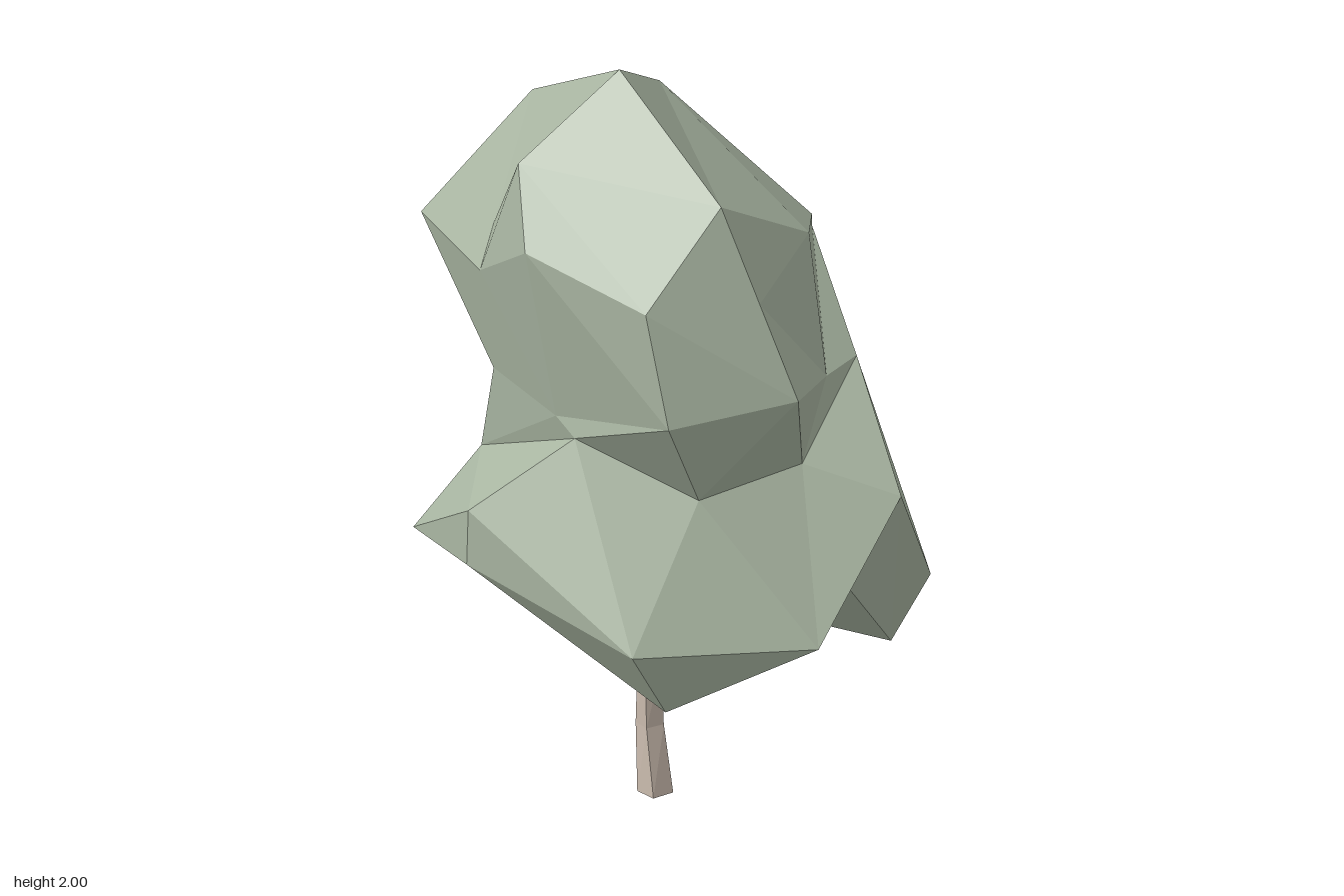
import * as THREE from 'three';

// Crown cross-sections, top to bottom; each runs front, +x, back, -x
const crown = [
  [[0.03, 2, 0.16]],
  [[-0.08, 1.79, 0.41], [0.4, 1.74, 0.18], [-0.08, 1.86, -0.1], [-0.27, 1.86, 0.16], [-0.255, 1.55, 0.315]],
  [[0.02, 1.6, 0.49], [0.35, 1.5, 0.4], [0.49, 1.49, 0.135], [0.34, 1.54, -0.2], [0.13, 1.46, -0.43],
    [-0.25, 1.49, -0.34], [-0.54, 1.47, 0], [-0.52, 1.5, 0.3], [-0.25, 1.44, 0.37]],
  [[0.04, 1.14, 0.4], [0.41, 1.2, 0.38], [0.58, 1.24, 0.09], [0.4, 1.17, -0.2], [0.13, 1.43, -0.43],
    [-0.255, 1.32, -0.385], [-0.5, 1.3, -0.1], [-0.42, 1.07, 0.11], [-0.27, 1.15, 0.3]],
  // waist: tucked in at the front and left, straight down the back
  [[0.11, 1.1, 0.405], [0.38, 0.96, 0.24], [0.45, 0.99, -0.06], [0.37, 1.175, -0.34], [-0.02, 1.15, -0.43],
    [-0.264, 1.15, -0.438], [-0.44, 1.08, -0.22], [-0.42, 0.73, -0.215], [-0.36, 0.9, 0.25]],
];

// Wide lower foliage, from the waist down to the hollow underside
const skirt = [
  crown[4],
  [[-0.09, 0.9, 0.58], [0.39, 0.61, 0.49], [0.65, 0.59, 0.09], [0.61, 0.89, -0.25], [0.53, 0.6, -0.44],
    [0.03, 0.54, -0.58], [-0.28, 0.75, -0.55], [-0.44, 0.67, -0.345], [-0.65, 0.53, -0.12], [-0.48, 0.68, 0.37]],
  [[-0.1, 0.75, 0.575], [0.39, 0.43, 0.37], [0.52, 0.65, -0.15], [0.46, 0.42, -0.37],
    [0.07, 0.36, -0.45], [-0.33, 0.53, -0.45], [-0.54, 0.46, -0.27], [-0.43, 0.43, 0]],
  [[-0.05, 0.62, 0.36], [0.2, 0.5, 0.16], [0.25, 0.47, -0.22], [-0.1, 0.45, -0.2], [-0.25, 0.43, 0.04]],
  [[0.02, 0.46, 0.02]],
];

// Crooked trunk: centre x, y, z and radius of each four-sided section
const trunk = [
  [0.03, 0.5, 0.02, 0.028], [0, 0.34, 0.02, 0.032], [-0.004, 0.18, 0.015, 0.036], [0.015, 0, 0.015, 0.045],
].map(([x, y, z, r], k) => [0, 1, 2, 3].map((i) => {
  const a = i * Math.PI / 2 + 0.3 + k * 0.12;
  return [x + r * Math.sin(a), y, z + r * Math.cos(a)];
}));
trunk.push([[0.015, 0, 0.015]]);

// Angle of every ring point about the ring's centre, closed with a full turn
function ringAngles(ring) {
  const cx = ring.reduce((s, p) => s + p[0], 0) / ring.length;
  const cz = ring.reduce((s, p) => s + p[2], 0) / ring.length;
  const cut = 0.45, turn = Math.PI * 2;
  const angles = ring.map((p) => (Math.atan2(p[0] - cx, p[2] - cz) + cut + turn) % turn);
  return [...angles, angles[0] + turn];
}

// Skins rings of unequal point counts, stitching neighbours by angle
function loft(rings) {
  const pos = [];
  for (let k = 0; k + 1 < rings.length; k++) {
    const up = rings[k], low = rings[k + 1];
    const ua = ringAngles(up), la = ringAngles(low);
    const un = up.length > 1 ? up.length : 0, ln = low.length > 1 ? low.length : 0;
    let i = 0, j = 0;
    while (i < ln || j < un) {
      const u = up[j % up.length], l = low[i % low.length];
      const stepLow = j >= un || (i < ln && la[i] + la[i + 1] <= ua[j] + ua[j + 1]);
      if (stepLow) pos.push(...l, ...low[++i % low.length], ...u);
      else pos.push(...l, ...up[++j % up.length], ...u);
    }
  }
  const geometry = new THREE.BufferGeometry();
  geometry.setAttribute('position', new THREE.Float32BufferAttribute(pos, 3));
  geometry.computeVertexNormals();
  return geometry;
}

export function createModel() {
  const leaves = new THREE.MeshStandardMaterial({ color: 0xabb8a4, flatShading: true, side: THREE.DoubleSide });
  const bark = new THREE.MeshStandardMaterial({ color: 0xcabbae, flatShading: true, side: THREE.DoubleSide });
  const tree = new THREE.Group();
  tree.name = 'tree';
  const parts = [['upperFoliage', crown, leaves], ['lowerFoliage', skirt, leaves], ['trunk', trunk, bark]];
  for (const [name, rings, material] of parts) {
    const mesh = new THREE.Mesh(loft(rings), material);
    mesh.name = name;
    tree.add(mesh);
  }
  return tree;
}
